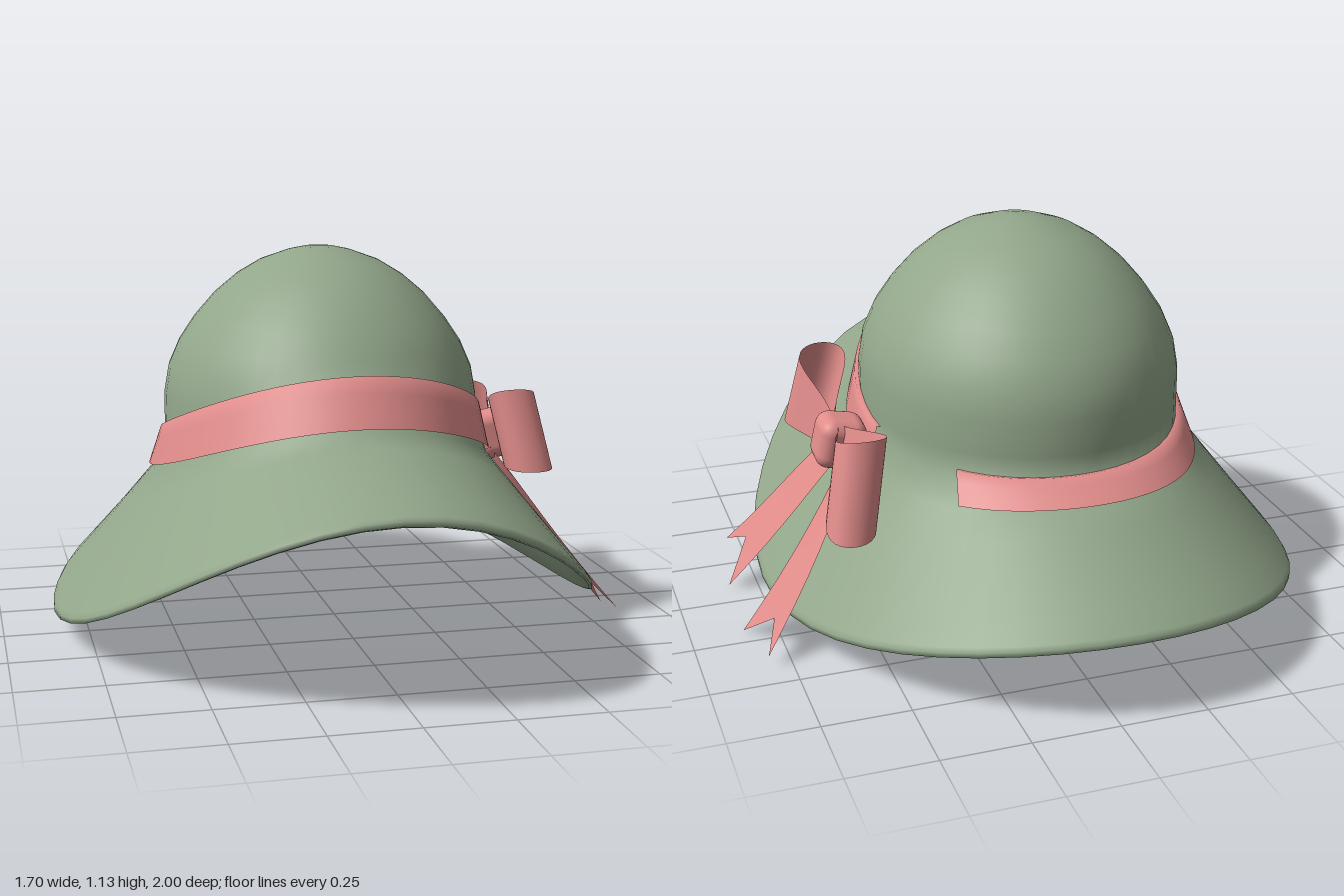
import * as THREE from 'three';
import { RoundedBoxGeometry } from 'three/addons/geometries/RoundedBoxGeometry.js';

const felt = new THREE.MeshStandardMaterial({ color: 0x92a68a });
felt.name = 'sage felt';
const ribbon = new THREE.MeshStandardMaterial({ color: 0xe08c8a, side: THREE.DoubleSide });
ribbon.name = 'pink ribbon';

// Smooth surface from a grid of points; point(row, column) returns [x, y, z]
function grid(rows, cols, point, closed = false) {
  const pos = [], index = [];
  for (let i = 0; i < rows; i++) for (let j = 0; j < cols; j++) pos.push(...point(i, j));
  for (let i = 0; i < rows - 1; i++) {
    for (let j = 0; j < (closed ? cols : cols - 1); j++) {
      const k = (j + 1) % cols;
      const a = i * cols + j, b = i * cols + k, c = a + cols, d = b + cols;
      index.push(a, c, b, b, c, d);
    }
  }
  const geo = new THREE.BufferGeometry();
  geo.setAttribute('position', new THREE.Float32BufferAttribute(pos, 3));
  geo.setIndex(index);
  geo.computeVertexNormals();
  return geo;
}

function add(parent, name, geo, mat) {
  const mesh = new THREE.Mesh(geo, mat);
  mesh.name = name;
  parent.add(mesh);
  return mesh;
}

// Heights around the hat; angle 0 is the front
const cos = Math.cos, sin = Math.sin;
const bandTop = (a) => 0.65 + 0.14 * cos(a) + 0.035 * cos(2 * a);
const bandBottom = (a) => 0.53 + 0.1 * cos(a) + 0.05 * cos(2 * a);
const rimHeight = (a) =>
  0.2475 + 0.145 * cos(a) + 0.1575 * cos(2 * a) + 0.02 * (cos(3 * a) - cos(a));

const crownPoint = (a, r, y) => [-0.035 + 0.465 * r * sin(a), y, -0.05 + 0.525 * r * cos(a)];
const flarePoint = (a, grow = 0) =>
  [-0.04 + (0.5 + grow) * sin(a), bandBottom(a), -0.055 + (0.615 + grow) * cos(a)];
const rimPoint = (a) => [-0.05 + 0.8 * sin(a), rimHeight(a), cos(a)];

// Brim from the flare below the band (s = 0) to the rim (s = 1)
function brimPoint(a, s, drop = 0) {
  const p = flarePoint(a), q = rimPoint(a);
  return [0, 1, 2].map((k) => p[k] + (q[k] - p[k]) * s - (k === 1 ? drop : 0));
}

function hatBody() {
  const dome = [[0, 1.135], [0.1, 1.132], [0.2, 1.122], [0.38, 1.092], [0.53, 1.05], [0.67, 0.995],
    [0.8, 0.925], [0.9, 0.855], [0.97, 0.78], [1, 0.7], [1, 0.6], [1, 0.5]];
  const steps = [0, 0.2, 0.4, 0.6, 0.8, 0.97];
  const outerCrown = dome.map(([r, y]) => (a) => crownPoint(a, r, Math.max(y, bandTop(a) - 0.03)));
  const outerBrim = steps.map((s) => (a) => brimPoint(a, s));
  const rim = [(a) => brimPoint(a, 1, 0.004), (a) => brimPoint(a, 1, 0.018)];
  const innerBrim = steps.map((s) => (a) => brimPoint(a, s, 0.028)).reverse();
  const innerCrown = dome.map(([r, y]) => (a) =>
    crownPoint(a, r * 0.96, Math.max(y, bandTop(a) - 0.03) - 0.025)).reverse();
  const rows = [...outerCrown, ...outerBrim, ...rim, ...innerBrim, ...innerCrown];
  const sides = 48;
  return grid(rows.length, sides, (i, j) => rows[i]((j / sides) * Math.PI * 2), true);
}

// Sloping band that ends under the brim fold behind the bow
function hatBand() {
  const from = 2.42, to = Math.PI * 2 + 1.8, cols = 64;
  return grid(5, cols + 1, (i, j) => {
    const a = from + ((to - from) * j) / cols;
    if (i === 0) return crownPoint(a, 0.98, bandTop(a) - 0.005);
    const t = (i - 1) / 3;
    const p = crownPoint(a, 1.025, bandTop(a)), q = flarePoint(a, 0.008);
    q[1] += 0.012;
    return p.map((v, k) => v + (q[k] - v) * t);
  });
}

// Teardrop loop of ribbon, wider at its outer end
function bowLoop(dir, length, rise, flare) {
  return grid(33, 5, (i, j) => {
    const t = i / 32, v = j / 2 - 1;
    const u = Math.pow(sin(Math.PI * t), 0.8);
    const half = 0.045 + flare * u;
    const y = 0.535 + rise * u + half * v;
    const side = 0.08 * sin(2 * Math.PI * t) * (0.35 + 0.65 * u);
    return [0.54 + side - 0.2 * (y - 0.535), y, -0.1 + dir * (length * u - 0.03 * u * v)];
  });
}

// Swallow-tailed ribbon end lying over the brim; edges are given as [z, y]
function bowTail(edgeA, edgeB, notch) {
  const [ca, cb] = [edgeA, edgeB].map((e) =>
    new THREE.CatmullRomCurve3(e.map(([z, y]) => new THREE.Vector3(0, y, z))));
  const rows = 13;
  return grid(rows, 5, (i, j) => {
    const t = i / (rows - 1), w = j / 4;
    const p = ca.getPoint(t).lerp(cb.getPoint(t), w);
    const fold = 1 - Math.abs(2 * w - 1);
    const y = p.y + notch * fold * t * t;
    return [0.85 - 0.84 * y + 0.28 * y * y + 0.012 * fold * (1 - t), y, p.z];
  });
}

export function createModel() {
  const hat = new THREE.Group();
  hat.name = 'sunHat';
  add(hat, 'crownAndBrim', hatBody(), felt);
  add(hat, 'hatBand', hatBand(), ribbon);

  const bow = new THREE.Group();
  bow.name = 'bow';
  hat.add(bow);
  add(bow, 'frontLoop', bowLoop(1, 0.335, 0.065, 0.075), ribbon);
  add(bow, 'backLoop', bowLoop(-1, 0.345, -0.025, 0.095), ribbon);
  add(bow, 'frontTail',
    bowTail([[-0.06, 0.53], [0.1, 0.43], [0.32, 0.06]], [[-0.1, 0.5], [-0.04, 0.4], [0.09, 0.015]], 0.075), ribbon);
  add(bow, 'backTail',
    bowTail([[-0.1, 0.5], [-0.12, 0.4], [-0.18, 0.005]], [[-0.14, 0.53], [-0.24, 0.38], [-0.41, 0.04]], 0.07), ribbon);
  const knot = add(bow, 'knot', new RoundedBoxGeometry(0.14, 0.15, 0.13, 4, 0.04), ribbon);
  knot.position.set(0.525, 0.53, -0.1);
  knot.rotation.set(-0.1, 0, 0.2);
  return hat;
}
